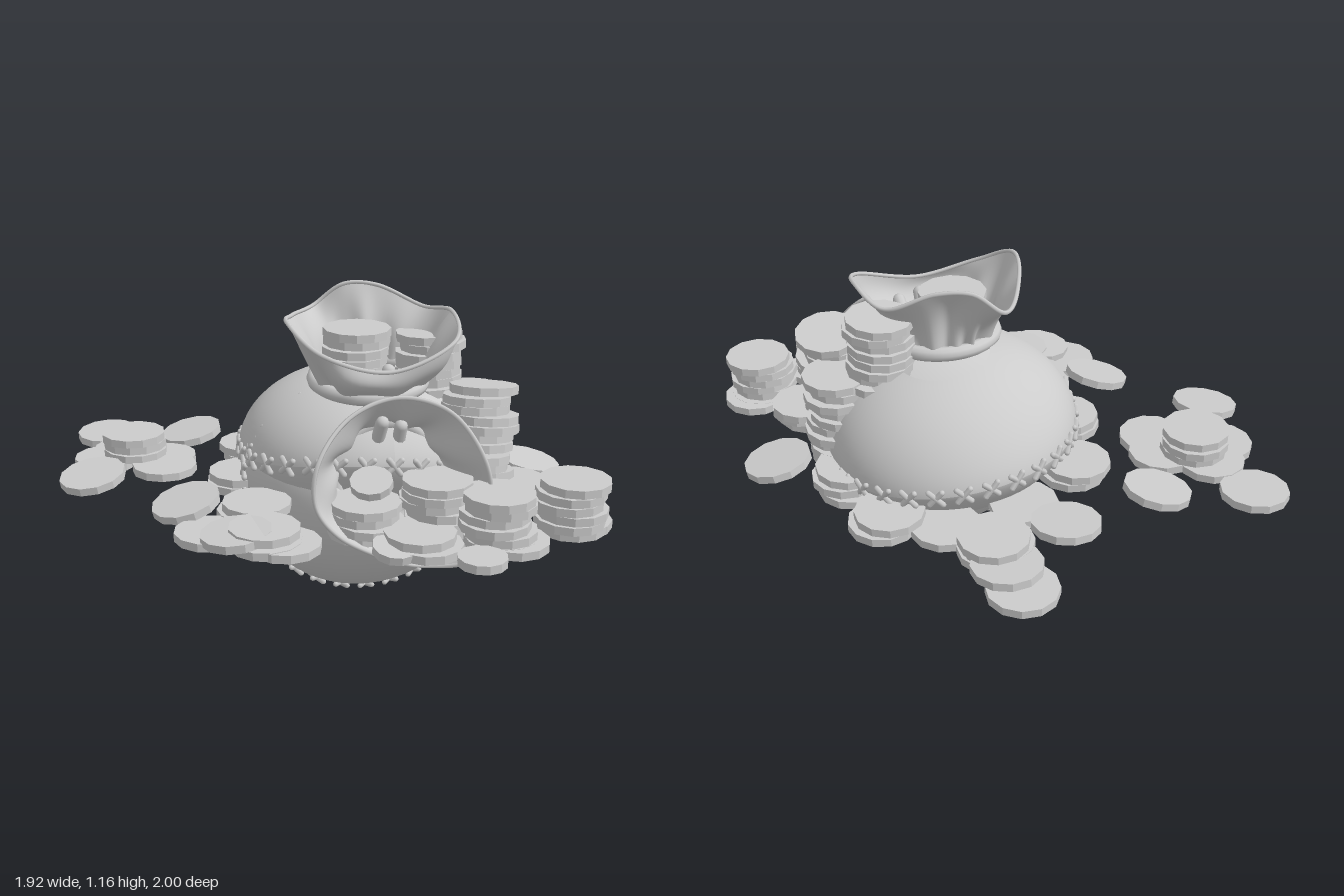
import * as THREE from 'three';

const V = (x, y, z) => new THREE.Vector3(x, y, z);
const material = new THREE.MeshStandardMaterial({ color: 0xcccccc });
const clothMaterial = new THREE.MeshStandardMaterial({ color: 0xcccccc, side: THREE.DoubleSide });
const coinMaterial = new THREE.MeshStandardMaterial({ color: 0xcccccc, flatShading: true });

let seed = 7;
const rand = () => {
  seed = (seed * 16807) % 2147483647;
  return seed / 2147483647 - 0.5;
};

function add(parent, name, geometry, mat = material) {
  const mesh = new THREE.Mesh(geometry, mat);
  mesh.name = name;
  parent.add(mesh);
  return mesh;
}

// Two puffed cloth halves meeting at a sharp seam, with crossed stitches around it.
// sideFullness rounds the upper half towards +-x, saddleFront and saddleBack lift the
// seam towards +-z, backScale shortens the half on -z. The upper half is open at the neck.
function bagBody(name, { radius, top, bottom, saddleFront, saddleBack, sideFullness, backScale }) {
  const g = new THREE.Group();
  g.name = name;
  const seamPoint = (a, r) => {
    const x = Math.sin(a) * r, z = Math.cos(a) * r;
    return V(x, (z > 0 ? saddleFront : saddleBack) * z * z, z < 0 ? z * backScale : z);
  };
  const rings = 20, sides = 56;
  for (const side of [1, -1]) {
    const pos = [], index = [];
    for (let j = 0; j <= rings; j++) {
      const start = side > 0 ? 0.24 : 0;
      const r = Math.sin((start + (1 - start) * (j / rings)) * Math.PI / 2);
      for (let i = 0; i <= sides; i++) {
        const a = (i / sides) * Math.PI * 2;
        const p = seamPoint(a, r * radius);
        const power = side > 0 ? 0.74 - sideFullness * Math.sin(a) ** 2 : 0.74;
        p.y += side * (side > 0 ? top : bottom) * Math.pow(Math.max(0, 1 - r * r), power);
        pos.push(p.x, p.y, p.z);
        if (j < rings && i < sides) {
          const b = j * (sides + 1) + i, c = b + sides + 1;
          if (side > 0) index.push(b, c, b + 1, b + 1, c, c + 1);
          else index.push(b, b + 1, c, b + 1, c + 1, c);
        }
      }
    }
    const geo = new THREE.BufferGeometry();
    geo.setAttribute('position', new THREE.Float32BufferAttribute(pos, 3));
    geo.setIndex(index);
    geo.computeVertexNormals();
    add(g, side > 0 ? 'upperCloth' : 'lowerCloth', geo, clothMaterial);
  }
  const thread = new THREE.CapsuleGeometry(0.011, 0.068, 3, 6);
  const count = 30;
  for (let i = 0; i < count; i++) {
    const a = (i / count) * Math.PI * 2;
    const stitch = new THREE.Group();
    stitch.name = 'stitch';
    stitch.position.copy(seamPoint(a, radius));
    stitch.rotation.y = a;
    for (const s of [-1, 1]) add(stitch, 'thread', thread).rotation.z = s * 0.75;
    g.add(stitch);
  }
  return g;
}

// Cloth mouth lofted from a gathered throat through the neck to a wavy rim
function bagMouth(name, center, axis, radius, rimPoints, pleats) {
  const g = new THREE.Group();
  g.name = name;
  const rim = new THREE.CatmullRomCurve3(rimPoints.map(p => V(...p)), true);
  const n = 96, throatRows = 4, rows = 18, pos = [], index = [];
  for (let j = 0; j <= rows; j++) {
    const t = Math.max(0, (j - throatRows) / (rows - throatRows));
    const throat = 0.15 + 0.85 * Math.min(1, j / throatRows);
    const swell = Math.sin(Math.PI * t);
    for (let i = 0; i <= n; i++) {
      const u = (i % n) / n;
      const edge = rim.getPoint(u);
      const dir = edge.clone().sub(center).projectOnPlane(axis).normalize();
      const wave = Math.cos(u * Math.PI * 22);
      const fold = 1 + 0.09 * wave * (1 - t);
      const p = center.clone().addScaledVector(dir, radius * fold * throat).lerp(edge, t);
      // folds sink into the throat
      p.addScaledVector(axis, (throat - 1) * 0.04 + 0.02 * wave * throat * (1 - throat));
      // slight concave flare, swelling forward at the front
      const bulge = -0.025 + 0.07 * Math.max(0, dir.z) + 0.014 * Math.sin(u * Math.PI * 14);
      p.addScaledVector(dir, bulge * swell);
      pos.push(p.x, p.y, p.z);
      if (j < rows && i < n) {
        const a = j * (n + 1) + i, b = a + n + 1;
        index.push(a, a + 1, b, a + 1, b + 1, b);
      }
    }
  }
  const geo = new THREE.BufferGeometry();
  geo.setAttribute('position', new THREE.Float32BufferAttribute(pos, 3));
  geo.setIndex(index);
  geo.computeVertexNormals();
  add(g, 'flaredCloth', geo, clothMaterial);
  add(g, 'hem', new THREE.TubeGeometry(rim, 120, 0.008, 6, true));
  // gathered band round the neck
  const band = add(g, 'neckBand', new THREE.TorusGeometry(radius * 1.04, 0.027, 10, 48));
  band.position.copy(center);
  band.quaternion.setFromUnitVectors(V(0, 0, 1), axis);
  // thick pleats inside the mouth
  for (const [from, to] of pleats) {
    const a = V(...from), b = V(...to);
    const pleat = add(g, 'pleat', new THREE.CapsuleGeometry(0.024, a.distanceTo(b), 4, 10));
    pleat.position.copy(a).lerp(b, 0.5);
    pleat.quaternion.setFromUnitVectors(V(0, 1, 0), b.sub(a).normalize());
  }
  return g;
}

const THICK = 0.03;
const coinGeometry = new THREE.CylinderGeometry(0.125, 0.125, THICK, 12);
function coin(parent, x, y, z, rx = 0, rz = 0, scale = 1) {
  const c = add(parent, 'coin', coinGeometry, coinMaterial);
  c.position.set(x, y, z);
  c.rotation.set(rx, rand() * 0.5, rz);
  c.scale.set(scale, 1, scale);
}

// Untidy stack between two heights, leaning by (lx, lz) over its full height
function stack(parent, x, z, y0, y1, lx = 0, lz = 0) {
  const g = new THREE.Group();
  g.name = 'coinStack';
  parent.add(g);
  const h = y1 - y0;
  const n = Math.max(1, Math.round(h / (THICK + 0.003)));
  for (let i = 0; i < n; i++) {
    const t = (i + 0.5) / n;
    coin(g, x + lx * t + rand() * 0.035, y0 + h * t, z + lz * t + rand() * 0.035, lz / h * 0.8, -lx / h * 0.8);
  }
}

export function createModel() {
  const model = new THREE.Group();
  model.name = 'moneyBags';

  // Upright bag
  const upright = bagBody('uprightBag', {
    radius: 0.47, top: 0.35, bottom: 0.28, saddleFront: 0.5, saddleBack: 0.16, sideFullness: 0.24, backScale: 1,
  });
  upright.position.set(0.18, 0.535, -0.02);
  upright.rotation.z = -0.09;
  model.add(upright);
  model.add(bagMouth('uprightMouth', V(0.17, 0.87, 0.12), V(0, 1, 0.08).normalize(), 0.19, [
    [0.48, 1.11, 0.12], [0.42, 1.09, -0.05], [0.26, 1.16, -0.13], [0.14, 1.16, -0.17],
    [0.03, 1.08, -0.19], [-0.09, 1.09, 0], [-0.14, 1.11, 0.2], [-0.05, 1.03, 0.34],
    [0.18, 0.97, 0.39], [0.43, 1.05, 0.33],
  ], [[[0.2, 0.95, 0.3], [0.2, 0.86, 0.24]], [[0.28, 0.93, 0.3], [0.27, 0.86, 0.22]]]));

  // Bag lying on its back with the mouth to the front
  const lying = bagBody('lyingBag', {
    radius: 0.47, top: 0.31, bottom: 0.29, saddleFront: 0, saddleBack: 0, sideFullness: 0, backScale: 0.82,
  });
  lying.position.set(0.18, 0.49, 0.075);
  lying.rotation.x = Math.PI / 2;
  model.add(lying);
  model.add(bagMouth('lyingMouth', V(0.18, 0.59, 0.36), V(0, 0.08, 1).normalize(), 0.18, [
    [0.49, 0.53, 0.61], [0.47, 0.7, 0.59], [0.37, 0.85, 0.5], [0.2, 0.9, 0.46],
    [0.02, 0.85, 0.49], [-0.11, 0.72, 0.58], [-0.12, 0.58, 0.6], [-0.05, 0.48, 0.62],
    [0.1, 0.4, 0.65], [0.27, 0.32, 0.58], [0.42, 0.37, 0.66],
  ], [[[0.15, 0.8, 0.42], [0.14, 0.68, 0.36]], [[0.22, 0.78, 0.41], [0.22, 0.67, 0.36]]]));

  const coins = new THREE.Group();
  coins.name = 'coins';
  model.add(coins);

  // Stacks: x, z, bottom, top, lean x, lean z
  for (const s of [
    [0.13, 0.07, 0.86, 1.055], [0.45, 0.06, 0.43, 1.02, -0.03, -0.02],
    [0.53, 0.34, 0.43, 0.87, 0.03, -0.08], [0.58, 0.06, 0.43, 0.8],
    [0.49, 0.67, 0.43, 0.62], [0.78, 0.61, 0.43, 0.62], [0.33, 0.53, 0.43, 0.63],
    [0.65, 0.37, 0.43, 0.53], [0.24, 0.68, 0.43, 0.5], [0.08, 0.52, 0.43, 0.56],
    [-0.66, -0.37, 0.46, 0.56], [-0.27, 0.54, 0.43, 0.5], [-0.28, 0.3, 0.43, 0.5],
    [0.53, -0.37, 0.43, 0.5], [0.6, -0.13, 0.43, 0.53], [-0.2, -0.32, 0.43, 0.5],
    [-0.29, -0.02, 0.43, 0.5], [0.22, -0.66, 0.43, 0.52],
  ]) stack(coins, ...s);

  // Loose coins: x, y, z, tilt x, tilt z, size
  for (const c of [
    [-0.76, 0.45, -0.66, 0.05, 0.03], [-0.42, 0.47, -0.56, 0, 0.2], [-0.84, 0.475, -0.11, 0.1, 0.15],
    [-0.78, 0.45, -0.35], [-0.55, 0.45, -0.33], [-0.7, 0.45, -0.44], [-0.56, 0.45, -0.22],
    [-0.04, 0.47, -0.63, 0.12, 0.05], [0.21, 0.445, -0.875], [0.23, 0.475, -0.78, 0.08, 0],
    [0.83, 0.475, 0.06, 0.1, -0.18], [-0.52, 0.48, 0.23, 0.05, 0.25], [-0.46, 0.445, 0.44],
    [-0.38, 0.475, 0.53, 0, 0.1], [0.13, 0.46, 0.71, 0.2, 0, 0.65], [0.36, 0.49, 0.915, 0, 0, 0.66],
    [0.09, 0.62, 0.52, 0.3, 0.15, 0.6], [0.35, 0.445, -0.48], [0.05, 0.445, -0.45],
    [0.54, 0.445, 0.71], [0.82, 0.445, 0.58], [-0.22, 0.445, 0.58],
  ]) coin(coins, ...c);

  return model;
}
